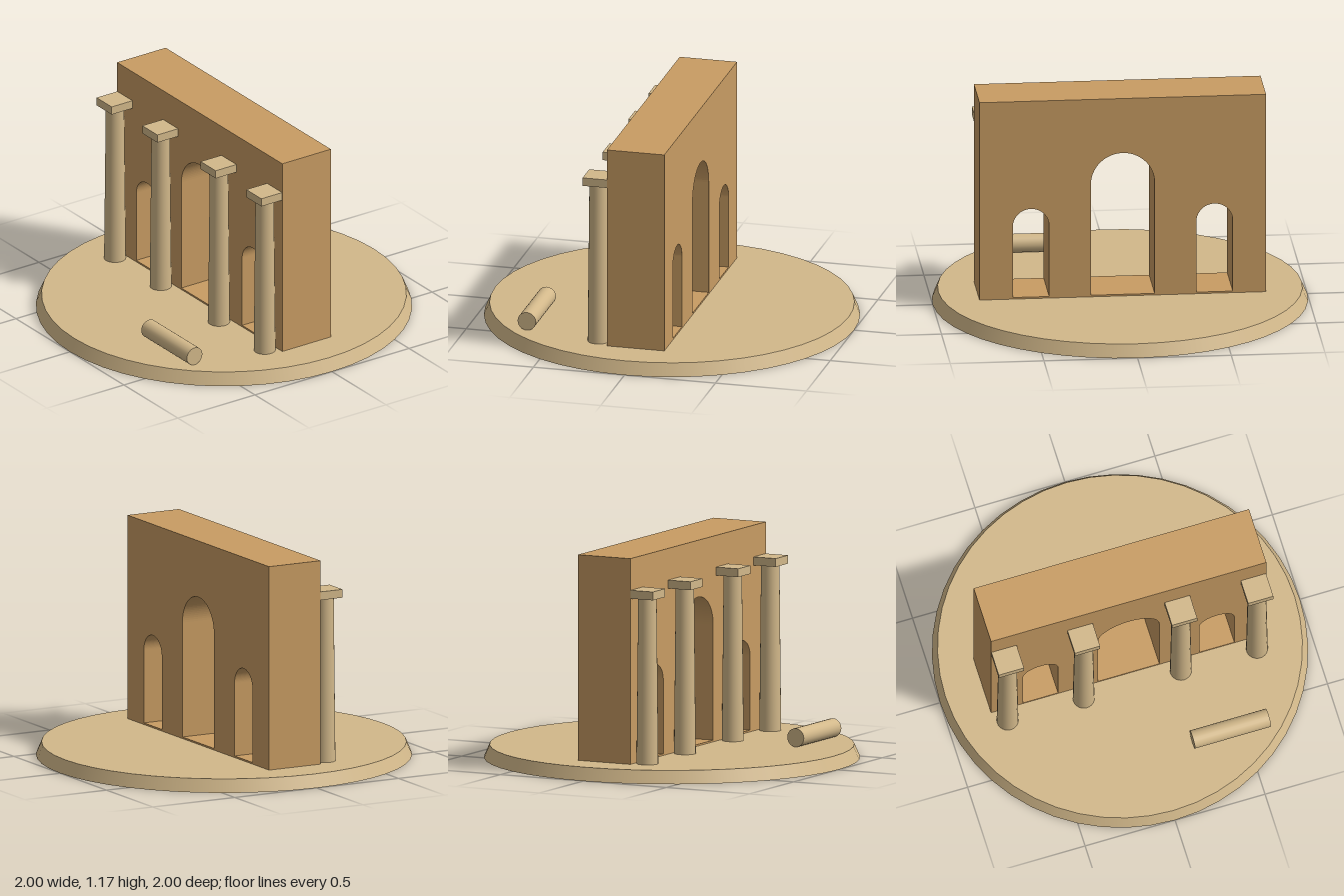
import * as THREE from 'three';

const sand = new THREE.MeshStandardMaterial({ color: 0xd2b88a });
sand.name = 'pale sandstone';
const ochre = new THREE.MeshStandardMaterial({ color: 0xc89c63 });
ochre.name = 'ochre stone';

const GROUND = 0.07;

function addMesh(parent, name, geometry, material, x, y, z) {
  const mesh = new THREE.Mesh(geometry, material);
  mesh.name = name;
  mesh.position.set(x, y, z);
  parent.add(mesh);
  return mesh;
}

// Round-headed opening: straight jambs up to the springing, then a half circle
function archHole(cx, radius, sill, spring) {
  const p = new THREE.Path();
  p.moveTo(cx - radius, sill);
  p.lineTo(cx + radius, sill);
  p.lineTo(cx + radius, spring);
  p.absarc(cx, spring, radius, 0, Math.PI, false);
  p.lineTo(cx - radius, sill);
  return p;
}

// Wall block pierced by a tall central arch and two low side arches
function wallGeometry() {
  const w = 0.765, top = 1.175, depth = 0.315;
  const shape = new THREE.Shape();
  shape.moveTo(-w, GROUND);
  shape.lineTo(w, GROUND);
  shape.lineTo(w, top);
  shape.lineTo(-w, top);
  shape.closePath();
  shape.holes.push(archHole(0, 0.17, 0.079, 0.7));
  for (const side of [-1, 1]) shape.holes.push(archHole(side * 0.49, 0.097, 0.079, 0.475));
  const geo = new THREE.ExtrudeGeometry(shape, { depth, bevelEnabled: false, curveSegments: 24 });
  geo.translate(0, 0, -depth / 2);
  return geo;
}

export function createModel() {
  const model = new THREE.Group();
  model.name = 'triumphalArch';

  // Round plinth with a sloped rim
  addMesh(model, 'base', new THREE.CylinderGeometry(0.97, 1, GROUND, 48), sand, 0, GROUND / 2, 0);

  addMesh(model, 'archWall', wallGeometry(), ochre, 0, 0, 0);

  // Four tapered columns with square capitals
  const capitalBottom = 0.96, capitalHeight = 0.045;
  const shaftHeight = capitalBottom - GROUND;
  const shaft = new THREE.CylinderGeometry(0.049, 0.058, shaftHeight, 24);
  const capital = new THREE.BoxGeometry(0.14, capitalHeight, 0.14);
  for (const x of [-0.693, -0.27, 0.27, 0.693]) {
    const column = new THREE.Group();
    column.name = 'column';
    column.position.set(x, 0, 0.222);
    addMesh(column, 'shaft', shaft, sand, 0, GROUND + shaftHeight / 2, 0);
    addMesh(column, 'capital', capital, sand, 0, capitalBottom + capitalHeight / 2, 0);
    model.add(column);
  }

  // Broken column drum lying in front
  const fallen = addMesh(model, 'fallenColumn', new THREE.CylinderGeometry(0.05, 0.05, 0.423, 24),
    sand, 0.42, 0.12, 0.633);
  fallen.rotation.z = Math.PI / 2;

  return model;
}
